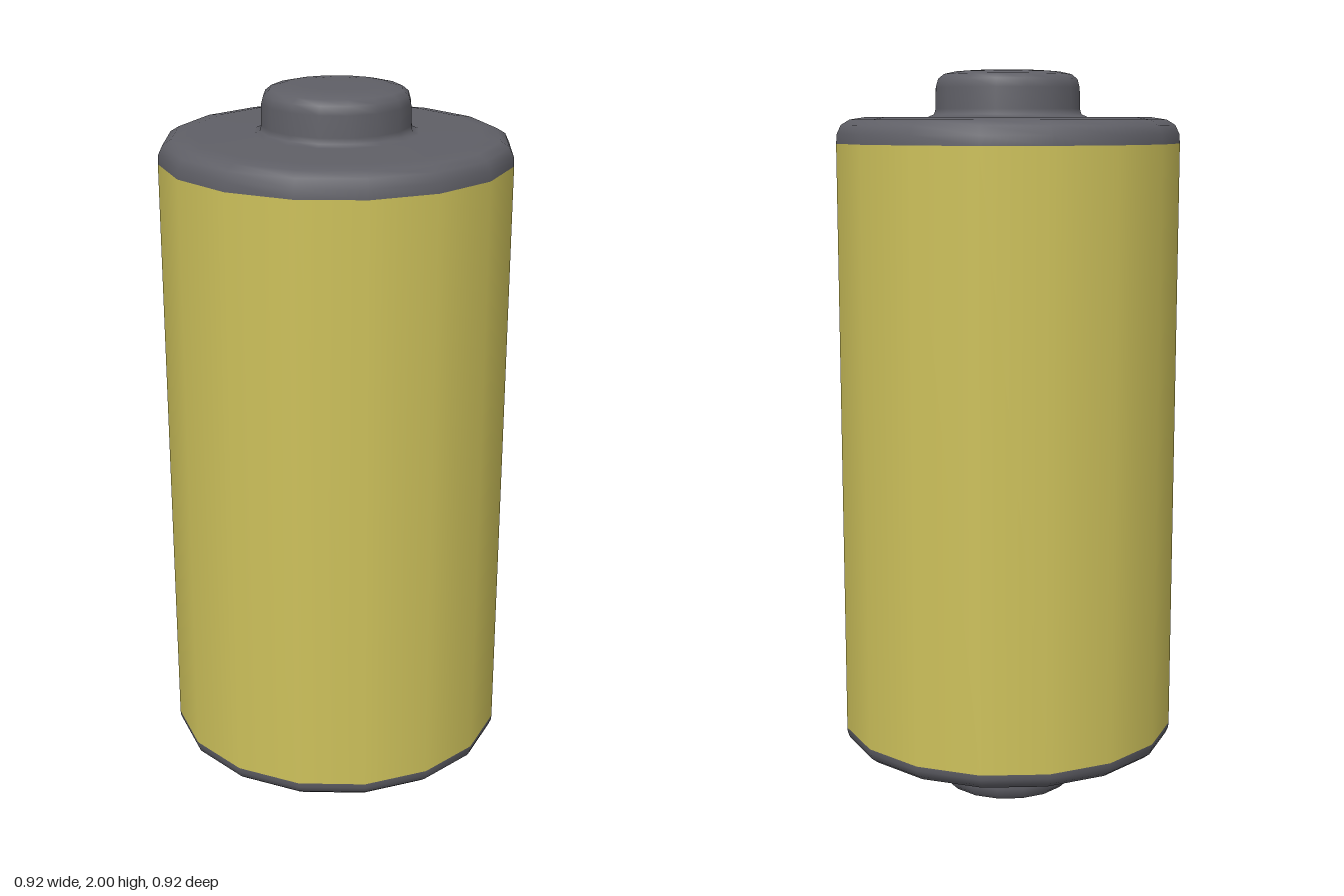
import * as THREE from 'three';

const SIDES = 16;

// Turns a bottom-to-top list of [radius, height] points into a round part
function turned(name, profile, material) {
  const points = profile.map(([r, y]) => new THREE.Vector2(r, y));
  const mesh = new THREE.Mesh(new THREE.LatheGeometry(points, SIDES), material);
  mesh.name = name;
  return mesh;
}

export function createModel() {
  const yellow = new THREE.MeshStandardMaterial({ color: 0xcdc15b });
  yellow.name = 'yellow wrapper';
  const grey = new THREE.MeshStandardMaterial({ color: 0x5f5f66 });
  grey.name = 'dark grey metal';

  const group = new THREE.Group();
  group.name = 'battery';

  // Wrapper around the cell
  group.add(turned('wrapper', [[0.461, 0.2], [0.461, 1.81]], yellow));

  // Top cap with rounded rim and a raised terminal
  group.add(turned('topCap', [
    [0.461, 1.81], [0.459, 1.835], [0.448, 1.858], [0.425, 1.872], [0.38, 1.879],
    [0.215, 1.879], [0.199, 1.886], [0.195, 1.9], [0.194, 1.955],
    [0.188, 1.977], [0.172, 1.99], [0.14, 1.997], [0.1, 2], [0, 2],
  ], grey));

  // Bottom cap with a matching terminal
  group.add(turned('bottomCap', [
    [0, 0], [0.1, 0.002], [0.145, 0.006], [0.172, 0.014], [0.187, 0.028], [0.193, 0.05],
    [0.195, 0.13], [0.199, 0.144], [0.215, 0.151],
    [0.4, 0.151], [0.435, 0.156], [0.453, 0.17], [0.46, 0.187], [0.461, 0.2],
  ], grey));

  return group;
}
